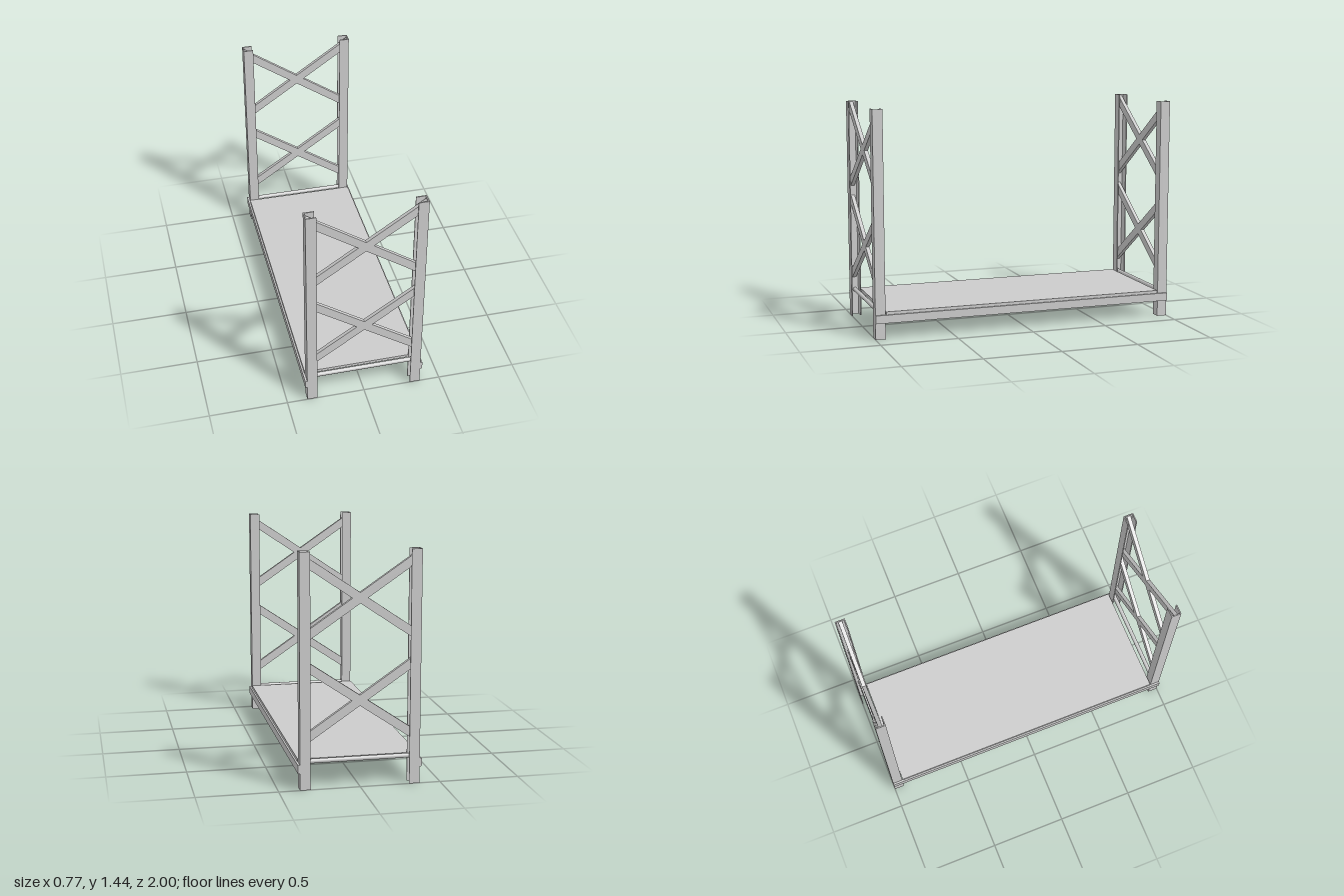
import * as THREE from 'three';

const material = new THREE.MeshStandardMaterial({ color: 0xcccccc, flatShading: true });
const smooth = new THREE.MeshStandardMaterial({ color: 0xcccccc });

function addMesh(parent, name, geometry, x = 0, y = 0, z = 0, mat = material) {
  const mesh = new THREE.Mesh(geometry, mat);
  mesh.name = name;
  mesh.position.set(x, y, z);
  parent.add(mesh);
  return mesh;
}

const extrude = (points, depth) => new THREE.ExtrudeGeometry(
  new THREE.Shape(points.map(([x, y]) => new THREE.Vector2(x, y))),
  { depth, bevelEnabled: false });

// Upright channel: web on the outside (+x), open towards the centre
function channelGeometry() {
  const w = 0.065, d = 0.0325, t = 0.007;
  const section = [[0, -d], [w, -d], [w, d], [0, d], [0, d - t], [w - t, d - t], [w - t, t - d], [0, t - d]];
  return extrude(section, 1.44).rotateX(-Math.PI / 2);
}

// Two crossing struts in one plane, cut vertically at the ends
function crossGeometry() {
  const x = 0.362, s = 0.68, h = 0.0325, y = x * s, thick = 0.025;
  const outline = [
    [0, h], [-x, y + h], [-x, y - h], [-h / s, 0], [-x, h - y], [-x, -y - h],
    [0, -h], [x, -y - h], [x, h - y], [h / s, 0], [x, y - h], [x, y + h],
  ];
  return extrude(outline, thick).translate(0, 0, -thick / 2);
}

export function createModel() {
  const model = new THREE.Group();
  model.name = 'rackFrame';
  const channel = channelGeometry();
  const cross = crossGeometry();
  const rod = new THREE.CylinderGeometry(0.014, 0.014, 0.724, 24).rotateZ(Math.PI / 2);

  // End frames: two uprights, two crosses and a round tie rod
  for (const [end, side] of [['front', 1], ['back', -1]]) {
    const frame = new THREE.Group();
    frame.name = end + 'Frame';
    frame.position.z = side * 0.9675;
    addMesh(frame, 'leftPost', channel, 0.305);
    addMesh(frame, 'rightPost', channel, -0.305).rotation.y = Math.PI;
    addMesh(frame, 'lowerCrossBrace', cross, 0, 0.533, 0);
    addMesh(frame, 'upperCrossBrace', cross, 0, 1.155, 0);
    addMesh(frame, 'tieRod', rod, 0, 0.169, -side * 0.003, smooth);
    model.add(frame);
  }

  // Long side beams, proud of the posts
  const beam = new THREE.BoxGeometry(0.018, 0.052, 2);
  addMesh(model, 'leftBeam', beam, 0.374, 0.131, 0);
  addMesh(model, 'rightBeam', beam, -0.374, 0.131, 0);

  // Shelf panel resting on the beams
  addMesh(model, 'deck', new THREE.BoxGeometry(0.744, 0.019, 1.86), 0, 0.1665, 0);
  return model;
}
